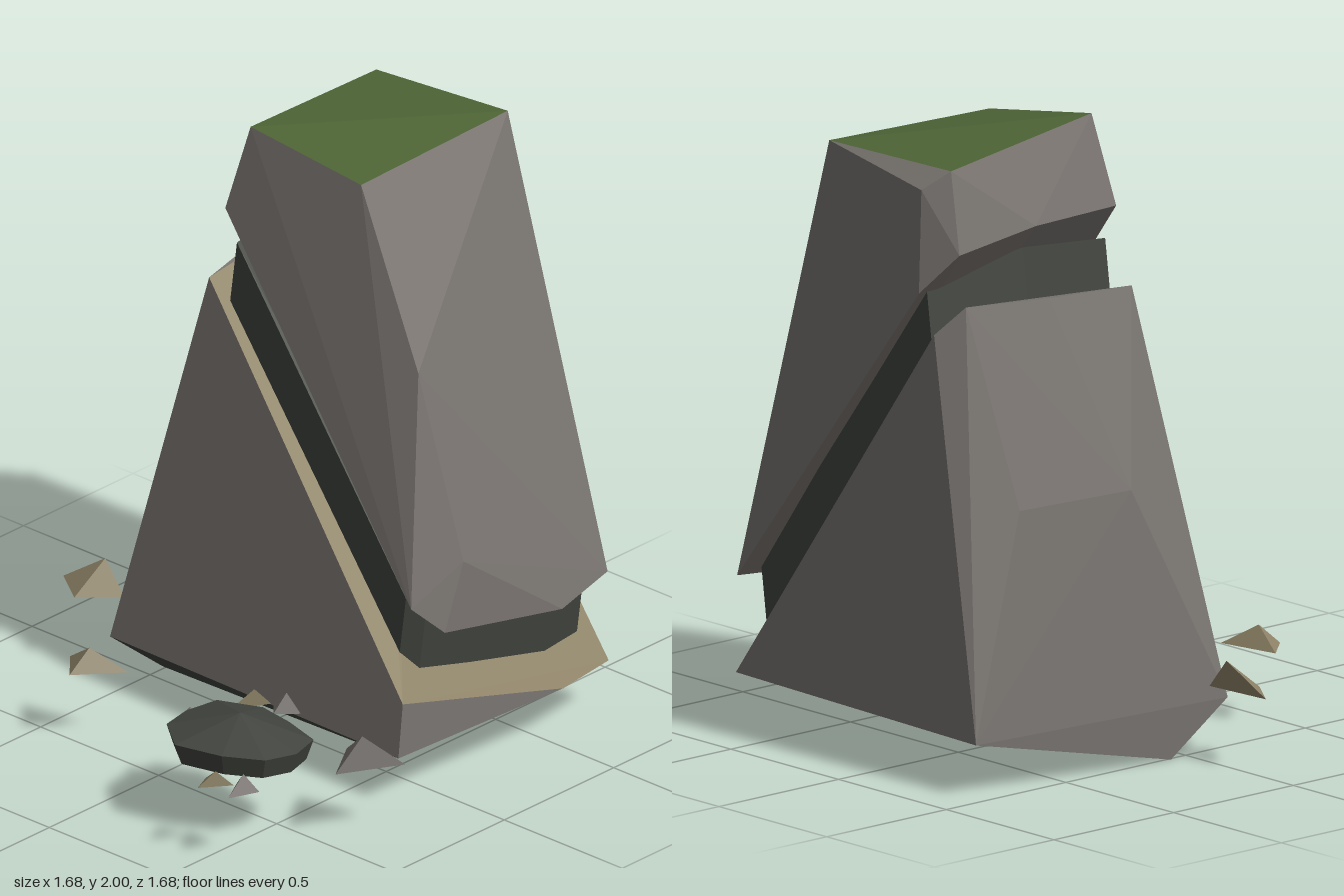
import * as THREE from 'three';
import { ConvexGeometry } from 'three/addons/geometries/ConvexGeometry.js';

const material = (name, color) => {
  const m = new THREE.MeshStandardMaterial({ color });
  m.name = name;
  return m;
};

// Faceted solid around a few corner points; pick(normal) chooses a material index per face
function rock(name, points, materials, pick = () => 0) {
  const geometry = new ConvexGeometry(points.map((p) => new THREE.Vector3(...p)));
  const normal = geometry.attributes.normal;
  const n = new THREE.Vector3();
  for (let i = 0; i < normal.count; i += 3) {
    geometry.addGroup(i, 3, pick(n.fromBufferAttribute(normal, i)));
  }
  const mesh = new THREE.Mesh(geometry, materials);
  mesh.name = name;
  return mesh;
}

export function createModel() {
  const stone = material('grey stone', 0x7a7571);
  const sand = material('sandy cut stone', 0x8f8468);
  const dark = material('dark stone', 0x42453f);
  const moss = material('moss green', 0x4d6435);
  const group = new THREE.Group();
  group.name = 'splitRock';

  // Lower block: sandy sloping cut, dark underside
  group.add(rock('lowerBlock', [
    [-0.51, 0, -0.07],
    [-0.54, 0.17, 0.14], [0.70, 0.17, 0.16], [0.74, 0.17, -0.55], [0.71, 0.17, -0.79], [-0.46, 0.17, -0.84],
    [-0.47, 0.88, -0.2], [-0.43, 0.88, -0.63],
    [0.70, 0.35, 0.14], [-0.25, 1.46, 0], [-0.31, 1.5, -0.4], [-0.28, 1.52, -0.72], [-0.21, 1.43, -0.79],
  ], [stone, sand, dark], (n) => (n.y < -0.3 ? 2 : n.x > 0.5 && n.y > 0.35 ? 1 : 0)));

  // Dark seam filling the gap between the two blocks
  const seam = [
    [-0.19, 1.38, -0.03], [0.60, 0.44, 0.05], [0.64, 0.40, 0], [0.67, 0.28, -0.54],
    [0.65, 0.28, -0.71], [-0.17, 1.36, -0.76], [-0.22, 1.42, -0.4],
  ];
  group.add(rock('seam', [...seam, ...seam.map(([x, y, z]) => [x + 0.03, y + 0.22, z])], [dark]));

  // Upper block: mossy top
  group.add(rock('upperBlock', [
    [-0.13, 2, -0.06], [0.31, 1.935, -0.09], [0.31, 1.95, -0.76], [-0.2, 1.94, -0.71], [-0.14, 1.88, -0.78],
    [-0.2, 1.71, -0.02], [-0.25, 1.72, -0.4], [-0.25, 1.68, -0.72], [-0.14, 1.55, -0.79],
    [0.59, 1.39, -0.05], [0.735, 0.77, -0.1],
    [0.68, 0.65, 0.08], [0.73, 0.55, -0.02], [0.745, 0.45, -0.54], [0.71, 0.48, -0.785],
  ], [stone, moss], (n) => (n.y > 0.93 ? 1 : 0)));

  // Small boulder: wide ring, narrower foot and a low peak
  const ground = 0.24;
  const ring = [
    [0.64, 0.56], [0.61, 0.45], [0.47, 0.41], [0.34, 0.39], [0.20, 0.45],
    [0.18, 0.57], [0.20, 0.68], [0.32, 0.77], [0.48, 0.73], [0.60, 0.66],
  ];
  group.add(rock('boulder', [
    [0.41, 0.38, 0.57],
    ...ring.map(([x, z]) => [x, 0.31, z]),
    ...ring.map(([x, z]) => [0.41 + (x - 0.41) * 0.9, ground, 0.57 + (z - 0.57) * 0.9]),
  ], [dark]));

  // Pebbles: colour, three corners on the ground (x, z), then the apex (x, y, z)
  const pebbles = [
    [sand, [-0.84, 0.03], [-0.60, 0.01], [-0.71, 0.12], [-0.69, 0.34, 0]],
    [sand, [-0.44, 0.43], [-0.23, 0.39], [-0.35, 0.53], [-0.34, 0.31, 0.45]],
    [sand, [0.16, 0.27], [0.245, 0.25], [0.18, 0.37], [0.22, 0.30, 0.30]],
    [stone, [0.24, 0.235], [0.36, 0.24], [0.30, 0.30], [0.31, 0.30, 0.25]],
    [stone, [0.63, 0.32], [0.84, 0.28], [0.73, 0.48], [0.76, 0.35, 0.39]],
    [stone, [0.10, 0.51], [0.19, 0.53], [0.14, 0.58], [0.17, 0.31, 0.54]],
    [sand, [0.45, 0.77], [0.55, 0.75], [0.48, 0.84], [0.51, 0.29, 0.79]],
    [stone, [0.545, 0.73], [0.64, 0.73], [0.60, 0.83], [0.60, 0.30, 0.76]],
  ];
  pebbles.forEach(([mat, a, b, c, apex], i) => {
    const base = [a, b, c].map(([x, z]) => [x, ground, z]);
    group.add(rock(`pebble${i + 1}`, [...base, apex], [mat]));
  });

  return group;
}
